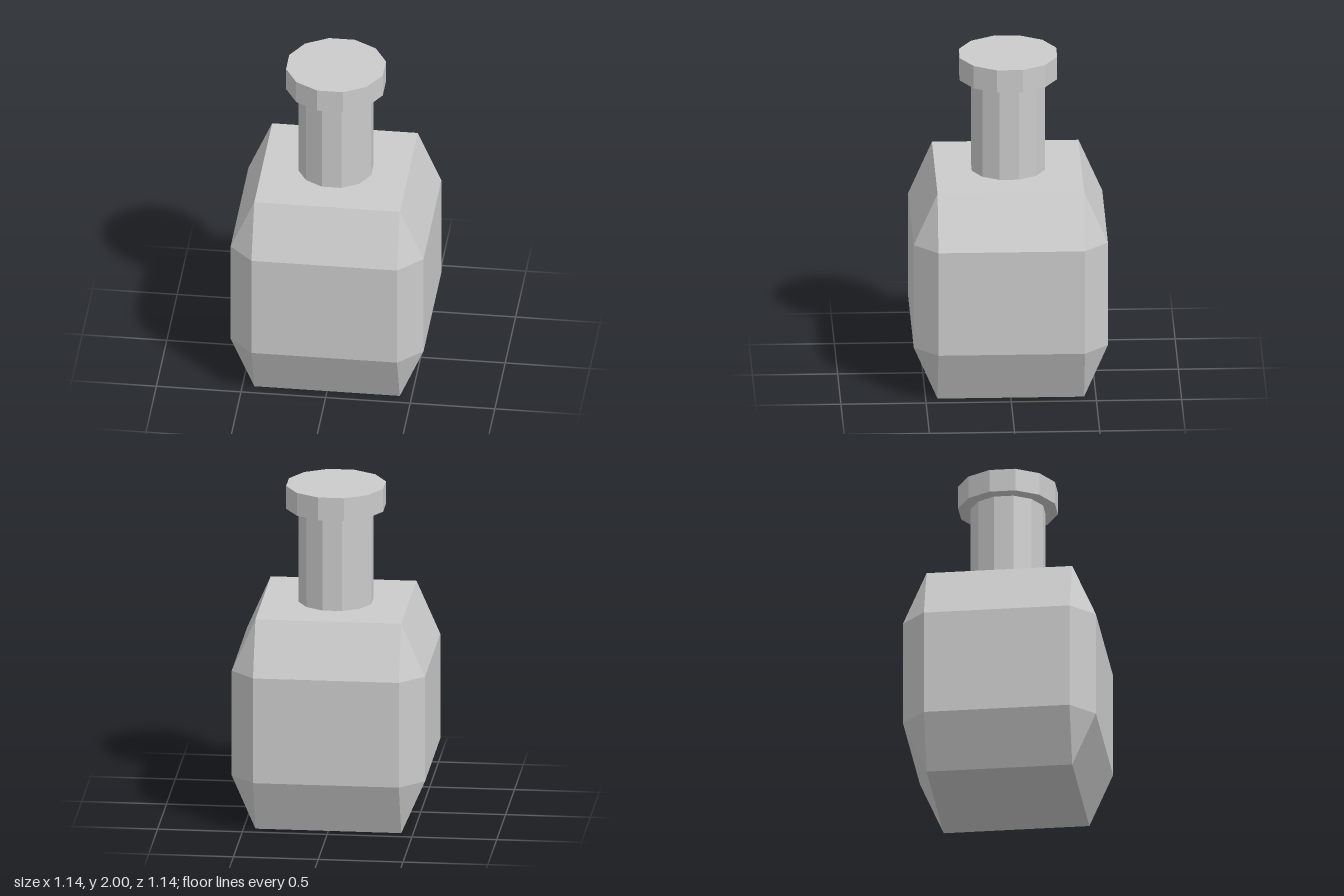
import * as THREE from 'three';
import { ConvexGeometry } from 'three/addons/geometries/ConvexGeometry.js';

const material = new THREE.MeshStandardMaterial({ color: 0xcccccc, flatShading: true });

const INNER = 0.43, OUTER = 0.57;   // half widths of the end squares and of the belly
const BODY_TOP = 1.285, CAP_BOTTOM = 1.86, TOP = 2;

// Square block whose edges are chamfered towards both ends
function bodyGeometry() {
  const points = [];
  for (const sx of [-1, 1]) for (const sz of [-1, 1]) {
    for (const y of [0, BODY_TOP]) points.push(new THREE.Vector3(sx * INNER, y, sz * INNER));
    for (const y of [0.322, 0.965]) {
      points.push(new THREE.Vector3(sx * OUTER, y, sz * INNER));
      points.push(new THREE.Vector3(sx * INNER, y, sz * OUTER));
    }
  }
  return new ConvexGeometry(points);
}

// Twelve-sided upright cylinder with a flat side facing the front
function twelveSided(radius, y0, y1, open = false) {
  return new THREE.CylinderGeometry(radius, radius, y1 - y0, 12, 1, open)
    .rotateY(Math.PI / 12)
    .translate(0, (y0 + y1) / 2, 0);
}

export function createModel() {
  const group = new THREE.Group();
  group.name = 'bottle';
  const add = (name, geometry) => {
    const mesh = new THREE.Mesh(geometry, material);
    mesh.name = name;
    group.add(mesh);
  };

  add('body', bodyGeometry());
  add('neck', twelveSided(0.222, BODY_TOP, CAP_BOTTOM, true));
  add('cap', twelveSided(0.296, CAP_BOTTOM, TOP));
  return group;
}
